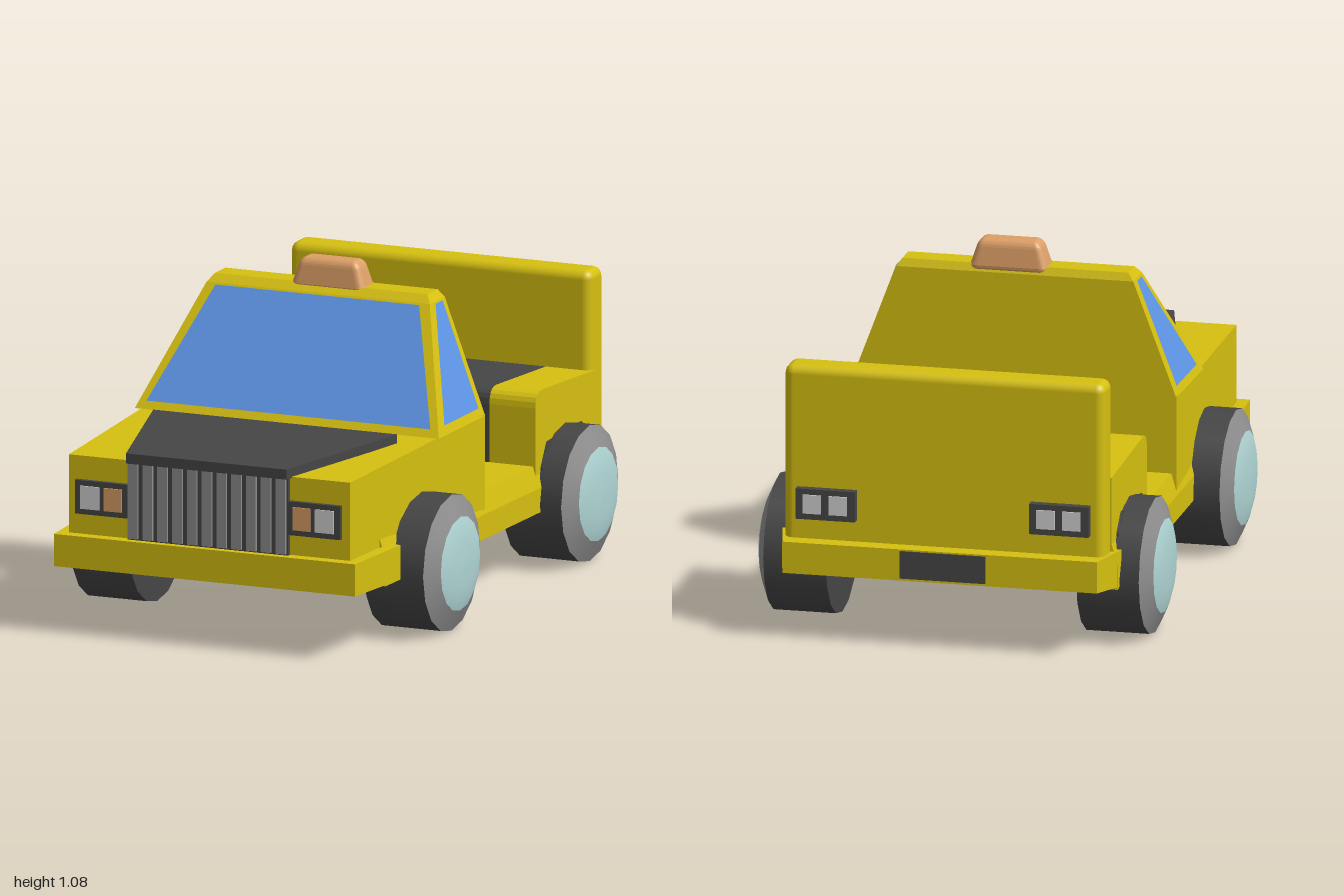
import * as THREE from 'three';
import { RoundedBoxGeometry } from 'three/addons/geometries/RoundedBoxGeometry.js';

const paint = (name, color, extra = {}) => {
  const m = new THREE.MeshStandardMaterial({ color, ...extra });
  m.name = name;
  return m;
};

// Flat-faced solid from stacked sections [yBack, yFront, zBack, zFront, halfWidthBack, halfWidthFront]
function loft(sections) {
  const pos = [], idx = [];
  for (const [yB, yF, zB, zF, xB, xF] of sections)
    pos.push(xF, yF, zF, xB, yB, zB, -xB, yB, zB, -xF, yF, zF);
  for (let s = 0; s < sections.length - 1; s++)
    for (let i = 0; i < 4; i++) {
      const a = s * 4 + i, b = s * 4 + (i + 1) % 4;
      idx.push(a, b, b + 4, a, b + 4, a + 4);
    }
  const t = (sections.length - 1) * 4;
  idx.push(0, 2, 1, 0, 3, 2, t, t + 1, t + 2, t, t + 2, t + 3);
  return flat(pos, idx);
}

function flat(pos, idx) {
  const g = new THREE.BufferGeometry();
  g.setAttribute('position', new THREE.Float32BufferAttribute(pos, 3));
  g.setIndex(idx);
  const out = g.toNonIndexed();
  out.computeVertexNormals();
  return out;
}

const pane = (pts) => flat(pts.flat(), [0, 1, 2, 0, 2, 3]);

// Side profile drawn in (z, y), extruded from x0 to x1
function sideExtrude(shape, x0, x1) {
  const g = new THREE.ExtrudeGeometry(shape, { depth: x1 - x0, bevelEnabled: false, curveSegments: 5 });
  return g.rotateY(-Math.PI / 2).translate(x1, 0, 0);
}

export function createModel() {
  const yellow = paint('yellow paint', 0xd6c010);
  const dark = paint('dark rubber', 0x464646);
  const grey = paint('grey metal', 0x8e8e8e);
  const glass = paint('blue glass', 0x6098ea, { side: THREE.DoubleSide });
  const orange = paint('orange lamp', 0xdc9f66);
  const white = paint('pale lamp', 0xd2d2d2);
  const teal = paint('pale teal hub', 0xb0d6d5);

  const model = new THREE.Group();
  model.name = 'pickupTruck';
  const add = (name, geometry, material, parent = model) => {
    const m = new THREE.Mesh(geometry, material);
    m.name = name;
    parent.add(m);
    return m;
  };
  const box = (name, mat, x0, x1, y0, y1, z0, z1) =>
    add(name, new THREE.BoxGeometry(x1 - x0, y1 - y0, z1 - z0)
      .translate((x0 + x1) / 2, (y0 + y1) / 2, (z0 + z1) / 2), mat);

  // Chassis, nose and bumpers
  add('chassis', loft([
    [0.2, 0.2, -0.86, 0.75, 0.55, 0.52],
    [0.28, 0.28, -0.86, 0.75, 0.55, 0.52],
    [0.35, 0.35, -0.86, 0.75, 0.53, 0.5]]), yellow);
  add('nose', loft([
    [0.2, 0.22, 0, 0.96, 0.53, 0.49],
    [0.605, 0.58, 0, 0.96, 0.53, 0.49]]), yellow);
  add('frontBumper', loft([
    [0.212, 0.22, 0.69, 1, 0.545, 0.525],
    [0.325, 0.325, 0.69, 1, 0.545, 0.525]]), yellow);
  add('rearBumper', loft([
    [0.222, 0.205, -0.995, -0.83, 0.515, 0.555],
    [0.325, 0.325, -0.995, -0.83, 0.515, 0.555]]), yellow);
  box('rearPlate', dark, -0.15, 0.13, 0.23, 0.32, -1, -0.993);

  // Cab with sloping windscreen
  add('cab', loft([
    [0.6, 0.6, 0, 0.36, 0.53, 0.53],
    [0.975, 0.975, 0, 0.116, 0.389, 0.389],
    [1, 1, 0.012, 0.092, 0.37, 0.37]]), yellow);
  const slopeZ = (y) => 0.364 - (y - 0.6) * 0.65;
  const slopeX = (y) => 0.534 - (y - 0.6) * 0.375;
  add('windscreen', pane([
    [-0.495, 0.625, slopeZ(0.625)], [0.495, 0.625, slopeZ(0.625)],
    [0.355, 0.97, slopeZ(0.97)], [-0.355, 0.97, slopeZ(0.97)]]), glass);
  for (const s of [1, -1]) {
    const pts = [[0.63, 0.3], [0.63, 0.035], [0.97, 0.03], [0.97, 0.085]]
      .map(([y, z]) => [s * slopeX(y), y, z]);
    add('sideWindow', pane(s > 0 ? pts : pts.reverse()), glass);
  }

  // Roof lamp: rounded box narrowed toward its top
  const lamp = new RoundedBoxGeometry(0.255, 0.11, 0.1, 3, 0.025);
  const p = lamp.attributes.position;
  for (let i = 0; i < p.count; i++) {
    const k = 1 - 0.22 * THREE.MathUtils.clamp((p.getY(i) + 0.03) / 0.085, 0, 1);
    p.setX(i, p.getX(i) * k);
    p.setZ(i, p.getZ(i) * k);
  }
  lamp.computeVertexNormals();
  add('roofLamp', lamp.translate(0.022, 1.025, 0.05), orange);

  // Bonnet panel and grille
  add('bonnetPanel', loft([
    [0.595, 0.575, 0.45, 0.985, 0.425, 0.28],
    [0.624, 0.608, 0.45, 0.985, 0.425, 0.28]]), dark);
  box('grille', dark, -0.28, 0.28, 0.325, 0.6, 0.95, 0.975);
  for (let i = 0; i < 11; i++) {
    const x = (i - 5) * 0.0515;
    box('grilleBar', grey, x - 0.017, x + 0.017, 0.33, 0.597, 0.97, 0.984);
  }

  // Lamps at both ends, mirrored
  const span = (s, a, b) => (s > 0 ? [a, b] : [-b, -a]);
  for (const s of [1, -1]) {
    box('headlampFrame', dark, ...span(s, 0.275, 0.462), 0.393, 0.503, 0.95, 0.976);
    box('indicator', orange, ...span(s, 0.298, 0.36), 0.411, 0.486, 0.97, 0.981);
    box('headlamp', white, ...span(s, 0.376, 0.442), 0.411, 0.486, 0.97, 0.981);
    box('tailLampFrame', dark, ...span(s, 0.285, 0.48), 0.395, 0.495, -0.965, -0.92);
    box('tailLamp', white, ...span(s, 0.31, 0.37), 0.415, 0.477, -0.97, -0.96);
    box('tailLamp', white, ...span(s, 0.395, 0.455), 0.415, 0.477, -0.97, -0.96);
  }

  // Rear load area: two wheel boxes with a dark bench between them
  const bed = new THREE.Shape();
  bed.moveTo(-0.39, 0.21);
  bed.lineTo(-0.86, 0.21);
  bed.lineTo(-0.86, 0.568);
  bed.lineTo(-0.44, 0.592);
  bed.quadraticCurveTo(-0.39, 0.592, -0.39, 0.54);
  add('wheelBox', sideExtrude(bed, 0.37, 0.53), yellow);
  add('wheelBox', sideExtrude(bed, -0.53, -0.39), yellow);
  add('bench', sideExtrude(bed, -0.39, 0.37), dark);
  add('tailWall', new RoundedBoxGeometry(1.05, 0.68, 0.11, 3, 0.03)
    .translate(0, 0.553, -0.882), yellow);

  // Dark arches above the rear wheels
  const arch = new THREE.Shape([[-0.43, 0.23], [-0.43, 0.34], [-0.475, 0.415],
    [-0.74, 0.425], [-0.795, 0.37], [-0.795, 0.23]].map(([z, y]) => new THREE.Vector2(z, y)));
  for (const s of [1, -1])
    add('rearArch', sideExtrude(arch, s * 0.532 - 0.004, s * 0.532 + 0.004), dark);

  // Wheels: tyre, sloping rim ring and domed hub, axis along x
  const v = (r, h) => new THREE.Vector2(r, h);
  const tyre = new THREE.CylinderGeometry(0.222, 0.222, 0.205, 16).translate(0, 0.5125, 0);
  const rim = new THREE.LatheGeometry([v(0.222, 0.615), v(0.153, 0.646)], 16);
  const hub = new THREE.LatheGeometry(
    [v(0.153, 0.646), v(0.12, 0.656), v(0.07, 0.662), v(0, 0.664)], 16);
  for (const z of [0.45, -0.622])
    for (const s of [1, -1]) {
      const wheel = new THREE.Group();
      wheel.name = z > 0 ? 'frontWheel' : 'rearWheel';
      wheel.position.set(0, 0.223, z);
      wheel.rotation.z = -s * Math.PI / 2;
      add('tyre', tyre, dark, wheel);
      add('rim', rim, grey, wheel);
      add('hub', hub, teal, wheel);
      model.add(wheel);
    }
  return model;
}
